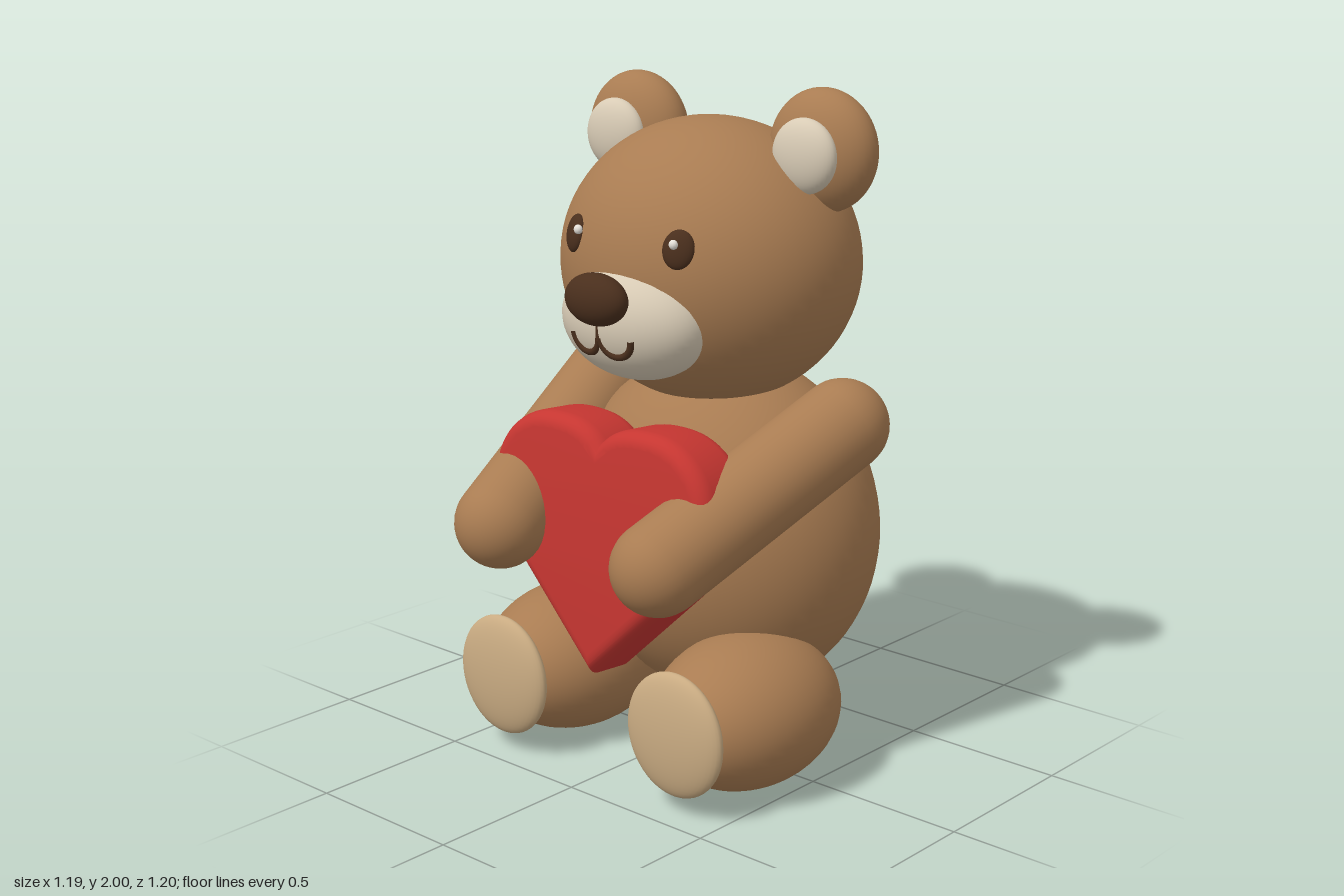
import * as THREE from 'three';
import { toCreasedNormals } from 'three/addons/utils/BufferGeometryUtils.js';

const material = (name, color) => {
  const m = new THREE.MeshStandardMaterial({ color });
  m.name = name;
  return m;
};

export function createModel() {
  const fur = material('brown fur', 0xa97c52);
  const cream = material('cream plush', 0xd8cbb5);
  const padTan = material('tan pad', 0xc9ab82);
  const red = material('red heart', 0xc63631);
  const dark = material('dark brown', 0x4a2f1d);
  const white = material('white glint', 0xf5f0e8);

  const bear = new THREE.Group();
  bear.name = 'teddyBear';

  const add = (name, geometry, mat, position, rotation = [0, 0, 0]) => {
    const mesh = new THREE.Mesh(geometry, mat);
    mesh.name = name;
    mesh.position.set(...position);
    mesh.rotation.set(...rotation);
    bear.add(mesh);
    return mesh;
  };

  // Ellipsoid with its own radii
  const ellipsoid = (name, mat, position, radii, rotation, detail = 40) =>
    add(name, new THREE.SphereGeometry(1, detail, Math.round(detail * 0.7)).scale(...radii), mat, position, rotation);

  // Rounded limb between two points
  const limb = (name, mat, from, to, radius) => {
    const a = new THREE.Vector3(...from);
    const b = new THREE.Vector3(...to);
    const mid = a.clone().add(b).multiplyScalar(0.5);
    const mesh = add(name, new THREE.CapsuleGeometry(radius, a.distanceTo(b), 12, 32), mat, mid.toArray());
    mesh.quaternion.setFromUnitVectors(new THREE.Vector3(0, 1, 0), b.sub(a).normalize());
  };

  // Body and head
  ellipsoid('body', fur, [0, 0.66, -0.17], [0.505, 0.53, 0.43], undefined, 56);
  ellipsoid('head', fur, [0, 1.48, -0.11], [0.463, 0.42, 0.417], undefined, 56);

  // Face
  ellipsoid('muzzle', cream, [0, 1.352, 0.21], [0.25, 0.175, 0.163], [0.2, 0, 0], 48);
  ellipsoid('nose', dark, [0, 1.433, 0.373], [0.109, 0.075, 0.06]);
  limb('mouthLine', dark, [0, 1.38, 0.366], [0, 1.315, 0.364], 0.009);

  for (const side of [1, -1]) {
    const label = side > 0 ? 'left' : 'right';

    // Eye with glint, mouth curve
    ellipsoid(label + 'Eye', dark, [side * 0.197, 1.58, 0.25], [0.047, 0.056, 0.022], [-0.22, side * 0.42, 0], 24);
    ellipsoid(label + 'EyeGlint', white, [side * 0.182 + 0.019, 1.598, 0.276], [0.014, 0.014, 0.012], undefined, 12);
    add(label + 'MouthCurve', new THREE.TorusGeometry(0.054, 0.011, 10, 24, Math.PI), dark,
      [side * 0.056, 1.325, 0.357], [0.2, side * 0.12, Math.PI]);

    // Ear
    ellipsoid(label + 'Ear', fur, [side * 0.354, 1.823, -0.187], [0.177, 0.177, 0.108]);
    ellipsoid(label + 'InnerEar', cream, [side * 0.361, 1.817, -0.092], [0.109, 0.107, 0.05]);

    // Arm reaching forward to hold the heart
    limb(label + 'Arm', fur, [side * 0.458, 1.045, -0.162], [side * 0.312, 0.738, 0.463], 0.136);

    // Leg and foot pad
    ellipsoid(label + 'Leg', fur, [side * 0.345, 0.23, 0.125], [0.25, 0.226, 0.318]);
    ellipsoid(label + 'FootPad', padTan, [side * 0.345, 0.245, 0.432], [0.175, 0.185, 0.048]);
  }

  // Puffy heart, drawn around y = 0.7
  const outline = new THREE.Shape();
  outline.moveTo(0, 0.315);
  outline.bezierCurveTo(0.05, 0.365, 0.12, 0.375, 0.21, 0.37);
  outline.bezierCurveTo(0.33, 0.36, 0.425, 0.27, 0.425, 0.14);
  outline.bezierCurveTo(0.425, 0.04, 0.36, -0.03, 0.29, -0.1);
  outline.lineTo(0, -0.378);
  outline.lineTo(-0.29, -0.1);
  outline.bezierCurveTo(-0.36, -0.03, -0.425, 0.04, -0.425, 0.14);
  outline.bezierCurveTo(-0.425, 0.27, -0.33, 0.36, -0.21, 0.37);
  outline.bezierCurveTo(-0.12, 0.375, -0.05, 0.365, 0, 0.315);
  const heart = new THREE.ExtrudeGeometry(outline, {
    depth: 0.11, curveSegments: 14, bevelEnabled: true,
    bevelThickness: 0.05, bevelSize: 0.045, bevelOffset: -0.045, bevelSegments: 6,
  });
  heart.translate(0, 0, -0.055);
  add('heart', toCreasedNormals(heart, 0.6), red, [0, 0.7, 0.302], [-0.07, 0, 0]);

  return bear;
}
